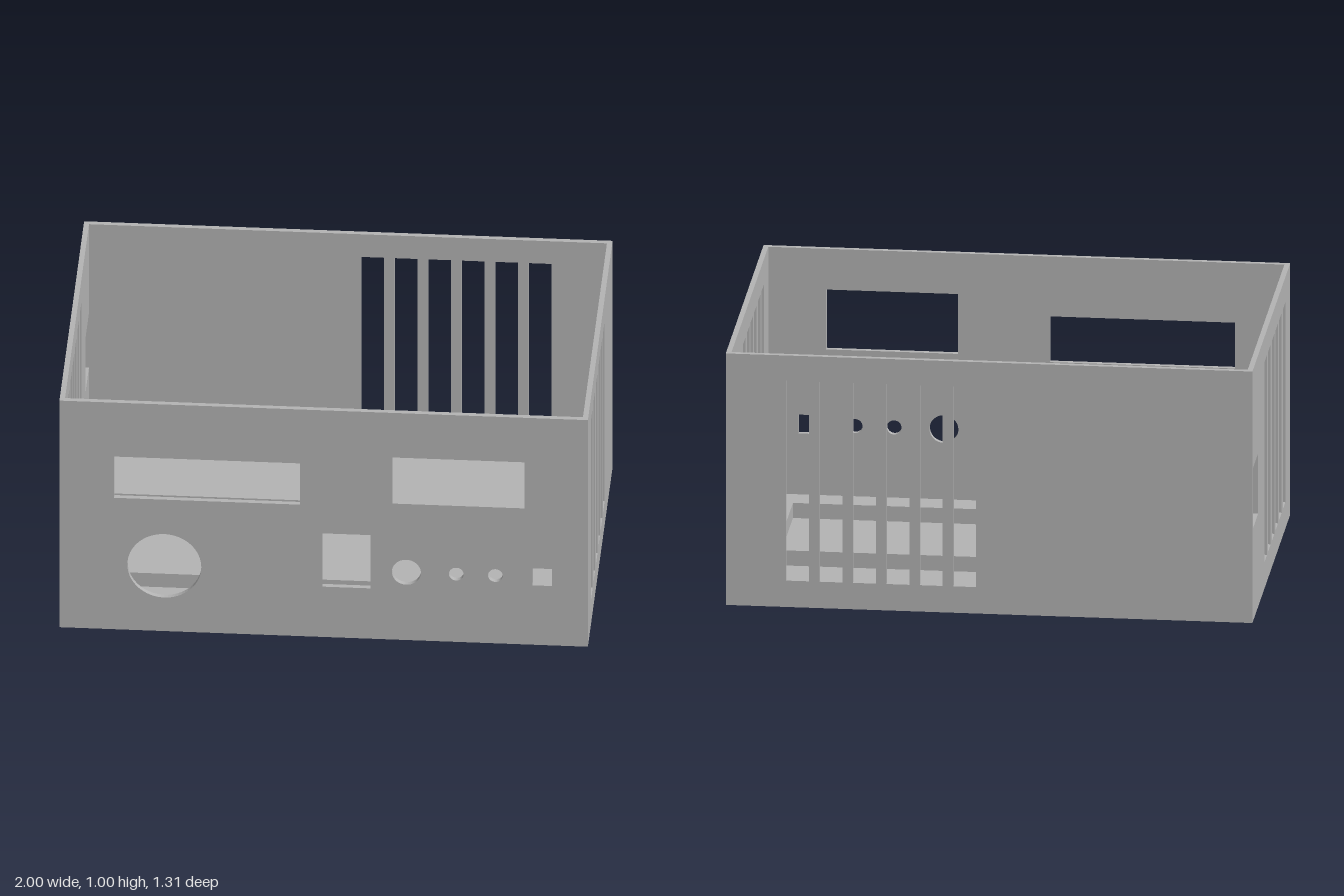
import * as THREE from 'three';

const W = 2, H = 1, D = 1.31, T = 0.02;

// Rectangular hole from its edges
function rectHole(x0, x1, y0, y1) {
  const p = new THREE.Path();
  p.moveTo(x0, y0);
  p.lineTo(x0, y1);
  p.lineTo(x1, y1);
  p.lineTo(x1, y0);
  p.closePath();
  return p;
}

function roundHole(x, y, r) {
  const p = new THREE.Path();
  p.absarc(x, y, r, 0, Math.PI * 2, true);
  return p;
}

// Six tall ventilation slots
function ventSlots(start) {
  return Array.from({ length: 6 }, (_, i) => {
    const x = start + i * 0.127;
    return rectHole(x, x + 0.087, 0.105, 0.9);
  });
}

// Flat panel with holes, thickness along +z
function panel(x0, x1, y0, y1, holes) {
  const s = new THREE.Shape();
  s.moveTo(x0, y0);
  s.lineTo(x1, y0);
  s.lineTo(x1, y1);
  s.lineTo(x0, y1);
  s.closePath();
  s.holes.push(...holes);
  return new THREE.ExtrudeGeometry(s, { depth: T, bevelEnabled: false, curveSegments: 32 });
}

export function createModel() {
  const group = new THREE.Group();
  const grey = new THREE.MeshStandardMaterial({ color: 0xb4b4b4 });
  grey.name = 'grey';

  function add(name, geometry) {
    const mesh = new THREE.Mesh(geometry, grey);
    mesh.name = name;
    group.add(mesh);
  }

  // Front panel with display, dial, switch, vent and socket openings
  add('frontPanel', panel(-W / 2, W / 2, 0, H, [
    rectHole(-0.793, -0.09, 0.58, 0.762),
    rectHole(0.26, 0.76, 0.6, 0.838),
    rectHole(-0.005, 0.177, 0.222, 0.457),
    rectHole(0.79, 0.865, 0.262, 0.337),
    roundHole(-0.603, 0.288, 0.14),
    roundHole(0.313, 0.299, 0.055),
    roundHole(0.502, 0.299, 0.028),
    roundHole(0.65, 0.299, 0.028),
  ]).translate(0, 0, D / 2 - T));

  // Back panel with slots on its left half
  add('backPanel', panel(-W / 2, W / 2, 0, H, ventSlots(0.049)).translate(0, 0, -D / 2));

  // Side panels, turned so that the shape runs along z
  const half = D / 2 - T;
  add('leftPanel', panel(-half, half, 0, H, ventSlots(-0.237))
    .rotateY(-Math.PI / 2).translate(W / 2, 0, 0));
  add('rightPanel', panel(-half, half, 0, H,
    [...ventSlots(-0.237), rectHole(-0.63, -0.455, 0.37, 0.61)])
    .rotateY(-Math.PI / 2).translate(-W / 2 + T, 0, 0));

  // Floor
  add('floor', new THREE.BoxGeometry(W - 2 * T, T, D - 2 * T).translate(0, T / 2, 0));

  // Raised locating rim standing on the floor
  const rim = new THREE.Shape();
  rim.moveTo(-0.875, -0.37);
  rim.lineTo(0.875, -0.37);
  rim.lineTo(0.875, 0.22);
  rim.lineTo(-0.875, 0.22);
  rim.closePath();
  rim.holes.push(rectHole(-0.855, 0.855, -0.35, 0.2));
  add('floorRim', new THREE.ExtrudeGeometry(rim, { depth: 0.06, bevelEnabled: false })
    .rotateX(-Math.PI / 2).translate(0, T, 0));

  return group;
}
